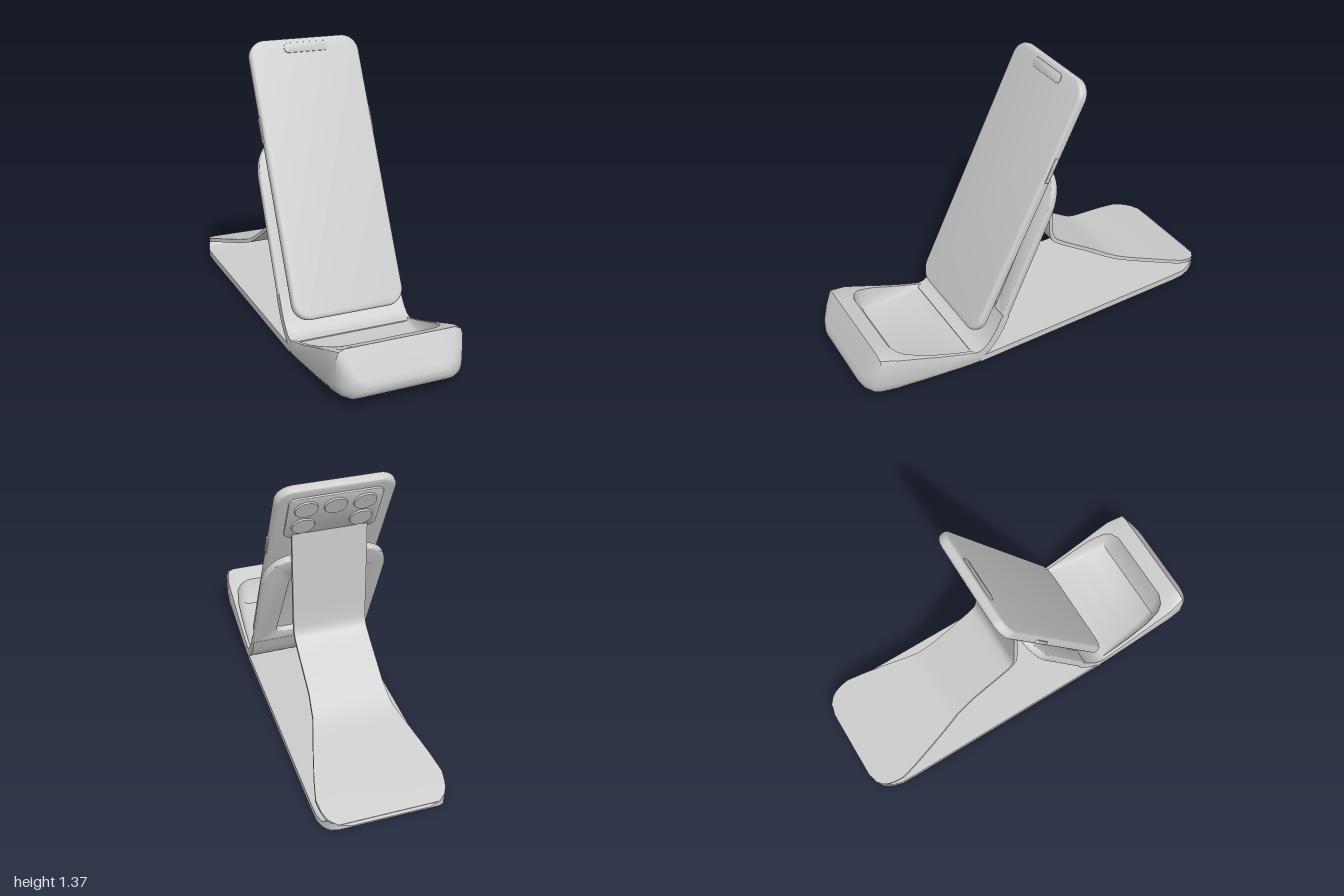
import * as THREE from 'three';
import { toCreasedNormals } from 'three/addons/utils/BufferGeometryUtils.js';

const grey = new THREE.MeshStandardMaterial({ color: 0xcccccc });
grey.name = 'light grey';

function part(name, geometry, parent) {
  const mesh = new THREE.Mesh(geometry, grey);
  mesh.name = name;
  parent.add(mesh);
  return mesh;
}

// Skin a row of equal-length closed sections and cap both ends
function loft(sections, crease = 0.6) {
  const n = sections[0].length, pos = [], tri = [];
  sections.forEach(s => s.forEach(p => pos.push(...p)));
  for (let i = 0; i < sections.length - 1; i++) {
    for (let j = 0; j < n; j++) {
      const a = i * n + j, b = i * n + (j + 1) % n;
      tri.push(a, b, b + n, a, b + n, a + n);
    }
  }
  [0, sections.length - 1].forEach((i, end) => {
    const c = pos.length / 3;
    pos.push(...[0, 1, 2].map(k => sections[i].reduce((sum, p) => sum + p[k], 0) / n));
    for (let j = 0; j < n; j++) {
      const a = i * n + j, b = i * n + (j + 1) % n;
      if (end) tri.push(c, a, b); else tri.push(c, b, a);
    }
  });
  // Turn all faces outward
  const v = k => new THREE.Vector3().fromArray(pos, k * 3);
  let volume = 0;
  for (let i = 0; i < tri.length; i += 3) volume += v(tri[i]).dot(v(tri[i + 1]).cross(v(tri[i + 2])));
  if (volume < 0) tri.reverse();
  const g = new THREE.BufferGeometry();
  g.setAttribute('position', new THREE.Float32BufferAttribute(pos, 3));
  g.setIndex(tri);
  return toCreasedNormals(g, crease);
}

// Piecewise-linear lookup in rows of [key, value], keys rising
function lookup(rows, x) {
  for (let i = 1; i < rows.length; i++) {
    if (x <= rows[i][0]) {
      const [a, b] = [rows[i - 1], rows[i]];
      return THREE.MathUtils.lerp(a[1], b[1], THREE.MathUtils.clamp((x - a[0]) / (b[0] - a[0]), 0, 1));
    }
  }
  return rows[rows.length - 1][1];
}

// Flat band following a [z, y] path; half(z) gives half its width
function strip(path, thickness, half, steps = 0) {
  let pts = path.map(([z, y]) => new THREE.Vector3(0, y, z));
  if (steps) pts = new THREE.CatmullRomCurve3(pts, false, 'centripetal').getPoints(steps);
  return loft(pts.map((p, i) => {
    const t = pts[Math.min(i + 1, pts.length - 1)].clone().sub(pts[Math.max(i - 1, 0)]).normalize();
    const ny = -t.z * thickness / 2, nz = t.y * thickness / 2, w = half(p.z);
    return [[-w, p.y + ny, p.z + nz], [w, p.y + ny, p.z + nz], [w, p.y - ny, p.z - nz], [-w, p.y - ny, p.z - nz]];
  }));
}

function roundedRect(w, h, r) {
  const s = new THREE.Shape(), x = w / 2, y = h / 2;
  s.absarc(x - r, y - r, r, 0, Math.PI / 2);
  s.absarc(r - x, y - r, r, Math.PI / 2, Math.PI);
  s.absarc(r - x, r - y, r, Math.PI, Math.PI * 1.5);
  s.absarc(x - r, r - y, r, Math.PI * 1.5, Math.PI * 2);
  s.closePath();
  return s;
}

// Plate centred on its own z = 0 with softened edges
function plate(shape, depth, bevel) {
  const g = new THREE.ExtrudeGeometry(shape, {
    depth: depth - 2 * bevel, bevelEnabled: bevel > 0, bevelThickness: bevel,
    bevelSize: bevel, bevelOffset: -bevel, bevelSegments: 4, curveSegments: 12,
  });
  g.translate(0, 0, bevel - depth / 2);
  return toCreasedNormals(g, 0.6);
}

// Tray cross-section: rounded underside, rim and sunken floor
function traySection([z, w, b, r, t, iw, fw, f]) {
  const c = z > 0.84 ? Math.min(0.04, (t - b) * 0.3) : 0.006;
  const half = [
    [w - r, b], [w - 0.6 * r, b + 0.09 * r], [w - 0.29 * r, b + 0.29 * r], [w - 0.09 * r, b + 0.6 * r], [w, b + r],
    [w, t - c], [w - 0.3 * c, t - 0.3 * c], [w - c, t], [iw, t],
    [iw - 0.2 * (iw - fw), t - 0.55 * (t - f)], [iw - 0.55 * (iw - fw), t - 0.87 * (t - f)], [fw, f],
  ];
  return [...half, ...half.map(([x, y]) => [-x, y]).reverse()].map(([x, y]) => [x, y, z]);
}

export function createModel() {
  const model = new THREE.Group();
  model.name = 'phoneStand';

  // Front tray: z, half width, bottom, bottom radius, rim, rim inner, floor half width, floor
  part('frontTray', loft([
    [1.0, 0.2, 0.075, 0.015, 0.105, 0.18, 0.16, 0.105],
    [0.985, 0.25, 0.05, 0.04, 0.135, 0.19, 0.17, 0.135],
    [0.955, 0.287, 0.03, 0.06, 0.195, 0.2, 0.18, 0.195],
    [0.92, 0.307, 0.018, 0.08, 0.26, 0.2, 0.18, 0.26],
    [0.835, 0.315, 0.006, 0.08, 0.225, 0.2, 0.18, 0.225],
    [0.815, 0.315, 0.005, 0.08, 0.217, 0.245, 0.2, 0.155],
    [0.78, 0.315, 0.003, 0.075, 0.204, 0.272, 0.215, 0.095],
    [0.7, 0.315, 0, 0.06, 0.172, 0.29, 0.235, 0.075],
    [0.6, 0.315, 0, 0.04, 0.132, 0.296, 0.25, 0.066],
    [0.5, 0.315, 0, 0.02, 0.096, 0.298, 0.265, 0.062],
    [0.43, 0.315, 0, 0.01, 0.074, 0.298, 0.27, 0.064],
    [0.385, 0.315, 0, 0.01, 0.06, 0.298, 0.27, 0.06],
  ].map(traySection)), model);

  // Base plate with an upturned tail: z, half width, bottom, top
  part('basePlate', loft([
    [0.4, 0.315, 0, 0.035], [-0.8, 0.315, 0, 0.035], [-0.87, 0.313, 0.002, 0.036], [-0.92, 0.3, 0.008, 0.042],
    [-0.945, 0.287, 0.014, 0.064], [-0.965, 0.273, 0.022, 0.068], [-0.985, 0.245, 0.035, 0.066], [-1, 0.19, 0.052, 0.06],
  ].map(([z, w, b, t]) => [[-w, b, z], [w, b, z], [w, t, z], [-w, t, z]])), model);

  const foot = part('footPad', plate(roundedRect(0.36, 0.075, 0.03), 0.008, 0.002), model);
  foot.rotation.x = Math.PI / 2;
  foot.position.set(0, -0.0005 + 0.004, -0.8);

  // Curved heel joining the tray to the back rest
  part('backRestHeel', strip([[0.44, 0.048], [0.39, 0.053], [0.345, 0.085], [0.3, 0.145], [0.255, 0.232]],
    0.042, () => 0.315, 20), model);

  // Back rest frame with rounded shoulders and a window
  const frame = new THREE.Shape();
  frame.moveTo(-0.315, 0);
  frame.lineTo(0.315, 0);
  frame.lineTo(0.315, 0.58);
  frame.bezierCurveTo(0.315, 0.7, 0.25, 0.772, 0.16, 0.772);
  frame.lineTo(-0.16, 0.772);
  frame.bezierCurveTo(-0.25, 0.772, -0.315, 0.7, -0.315, 0.58);
  frame.closePath();
  const opening = roundedRect(0.4, 0.53, 0.04).getPoints(8)
    .map(p => new THREE.Vector2(p.x * (1 - 0.25 * (p.y + 0.265)), p.y + 0.355));
  frame.holes.push(new THREE.Path(opening));
  const rest = part('backRest', plate(frame, 0.038, 0.008), model);
  rest.position.set(0, 0.215, 0.262);
  rest.rotation.x = -0.4345;

  // Recessed panel between the frame and the phone
  part('backRestPanel', strip([[0.262, 0.245], [0.157, 0.545], [0.037, 0.775]], 0.016, () => 0.235), model);
  for (const side of [-1, 1]) {
    const cheek = part(side > 0 ? 'leftPanelSide' : 'rightPanelSide',
      strip([[0.252, 0.25], [0.146, 0.545], [0.025, 0.77]], 0.036, () => 0.02), model);
    cheek.position.x = side * 0.215;
  }

  // Rear support arm flaring toward the tail
  const armWidths = [[-1, 0.19], [-0.985, 0.245], [-0.96, 0.277], [-0.92, 0.3], [-0.85, 0.31], [-0.75, 0.287],
    [-0.6, 0.245], [-0.45, 0.2], [-0.35, 0.188], [0, 0.185]];
  part('rearArm', strip([[-0.083, 1.06], [-0.084, 0.8], [-0.085, 0.56], [-0.091, 0.505], [-0.107, 0.472], [-0.14, 0.443],
    [-0.3, 0.336], [-0.44, 0.243], [-0.5, 0.214], [-0.74, 0.138], [-0.985, 0.06]], 0.02,
  z => lookup(armWidths, z), 90), model);

  // Leaning phone
  const phone = new THREE.Group();
  phone.name = 'phone';
  phone.position.set(0, 0.754, 0.097);
  phone.rotation.x = -0.462;
  model.add(phone);
  part('phoneBody', plate(roundedRect(0.574, 1.36, 0.085), 0.05, 0.018), phone);
  part('frontSlot', plate(roundedRect(0.23, 0.05, 0.022), 0.008, 0.003), phone).position.set(0.005, 0.63, 0.024);
  for (const side of [-1, 1]) {
    part(side > 0 ? 'leftButton' : 'rightButton', plate(roundedRect(0.02, 0.13, 0.008), 0.02, 0.004), phone)
      .position.set(side * 0.283, 0.245, 0);
  }

  // Camera block with five lenses
  part('cameraBlock', plate(roundedRect(0.45, 0.3, 0.04), 0.024, 0.005), phone).position.set(0, 0.48, -0.024);
  for (const [x, y] of [[-0.14, 0.55], [0, 0.55], [0.14, 0.55], [-0.14, 0.42], [0.14, 0.42]]) {
    const lens = part('lens', new THREE.CylinderGeometry(0.054, 0.058, 0.012, 28), phone);
    lens.rotation.x = -Math.PI / 2;
    lens.position.set(x, y, -0.038);
  }
  return model;
}
